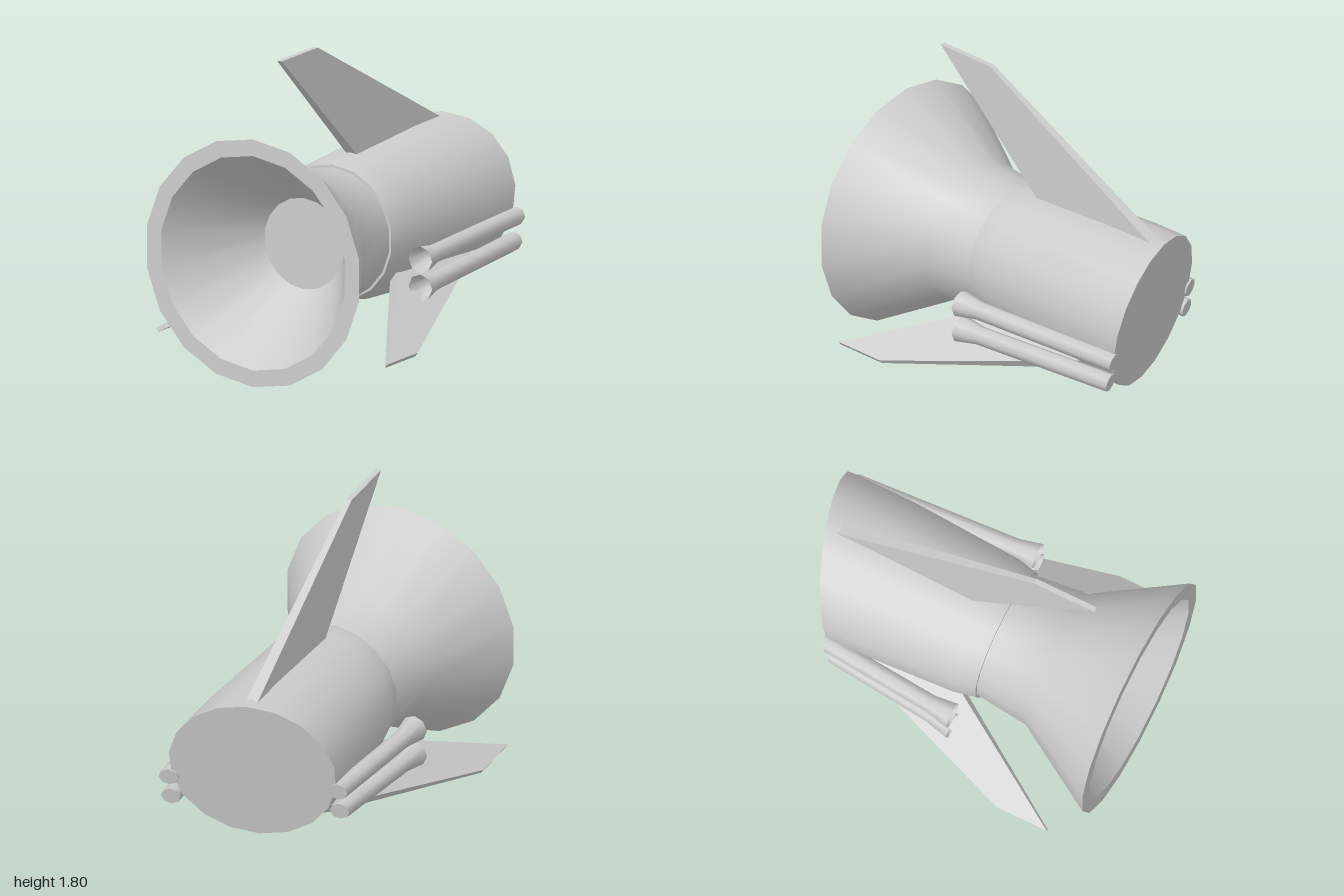
import * as THREE from 'three';

const AXIS_Y = 0.708;

export function createModel() {
  const model = new THREE.Group();
  const grey = new THREE.MeshStandardMaterial({ color: 0xcccccc });
  grey.name = 'lightGrey';

  const add = (name, geometry, parent = model) => {
    const mesh = new THREE.Mesh(geometry, grey);
    mesh.name = name;
    parent.add(mesh);
    return mesh;
  };

  // Turned surface along z; profile is [radius, z] pairs
  const turn = (profile, sides) =>
    new THREE.LatheGeometry(profile.map(([r, z]) => new THREE.Vector2(r, z)), sides).rotateX(Math.PI / 2);

  // Shift rings by a rule and slant everything behind z = -0.8 onto the rear plane
  const bend = (geometry, shift, overhang) => {
    const p = geometry.attributes.position;
    for (let i = 0; i < p.count; i++) {
      const z = p.getZ(i);
      const [dx, dy] = shift(z);
      const x = p.getX(i) + dx, y = p.getY(i) + dy;
      p.setXYZ(i, x, y, z < -0.8 ? -0.845 - overhang - 0.29 * x - 0.19 * y : z);
    }
    return geometry;
  };

  const rocket = new THREE.Group();
  rocket.name = 'rocket';
  rocket.position.y = AXIS_Y;
  model.add(rocket);

  // Nozzle bell
  add('nozzleOuter', turn([[0.37, 0.16], [0.37, 0.18], [0.405, 0.5], [0.705, 1]], 18), rocket);
  add('nozzleRim', turn([[0.705, 1], [0.61, 1]], 18), rocket);
  add('nozzleInner', turn([[0.61, 1], [0.26, 0.48]], 18), rocket);
  add('nozzleThroat', turn([[0.26, 0.48], [0, 0.48]], 18), rocket);

  // Body with a slanted rear face
  const still = () => [0, 0];
  add('body', bend(turn([[0.45, -0.9], [0.448, -0.6], [0.412, 0.05], [0.385, 0.18]], 18), still, 0), rocket);
  add('bodyFront', turn([[0.385, 0.18], [0.36, 0.18]], 18), rocket);
  const rear = bend(turn([[0, -0.9], [0.45, -0.9]], 18), still, 0);
  rear.computeVertexNormals();
  add('bodyRear', rear, rocket);

  // Tapered fins; outline is [z, radius] pairs
  const fin = (name, outline, angle, rootHalf, tipHalf) => {
    const shape = new THREE.Shape(outline.map(([z, r]) => new THREE.Vector2(z, r)));
    const g = new THREE.ExtrudeGeometry(shape, { depth: 1, bevelEnabled: false });
    const radii = outline.map((q) => q[1]);
    const low = Math.min(...radii), high = Math.max(...radii);
    const p = g.attributes.position;
    for (let i = 0; i < p.count; i++) {
      const half = THREE.MathUtils.mapLinear(p.getY(i), low, high, rootHalf, tipHalf);
      p.setZ(i, (p.getZ(i) > 0.5 ? 1 : -1) * half);
    }
    g.rotateY(-Math.PI / 2).rotateZ(angle);
    g.computeVertexNormals();
    add(name, g, rocket);
  };
  fin('topFin', [[0.73, 1.092], [0.36, 1.092], [-0.85, 0.445], [-0.85, 0.4], [-0.03, 0.385]], 0, 0.036, 0.015);
  const sideOutline = [[0.81, 0.915], [0.5, 0.915], [-0.6, 0.475], [-0.7, 0.42], [0.08, 0.4]];
  fin('leftFin', sideOutline, -2.18, 0.036, 0.013);
  fin('rightFin', sideOutline, 2.18, 0.036, 0.013);

  // Paired side boosters, leaning in towards the rear
  for (const side of [1, -1]) {
    for (const [level, y, rise] of [['upper', -0.1, 0.005], ['lower', -0.26, 0.028]]) {
      const booster = new THREE.Group();
      booster.name = (side > 0 ? 'left' : 'right') + level[0].toUpperCase() + level.slice(1) + 'Booster';
      rocket.add(booster);
      const lean = (z) => [side * (0.525 - 0.07 * (0.11 - z)), y + rise * (0.11 - z)];
      add('boosterTube', bend(turn([[0.053, -0.9], [0.053, -0.03], [0.077, 0.11]], 8), lean, 0.012), booster);
      const cap = bend(turn([[0, -0.9], [0.053, -0.9]], 8), lean, 0.012);
      cap.computeVertexNormals();
      add('boosterCap', cap, booster);
      add('boosterMouth', bend(turn([[0.077, 0.11], [0.045, -0.03], [0, -0.03]], 8), lean, 0), booster);
    }
  }
  return model;
}
